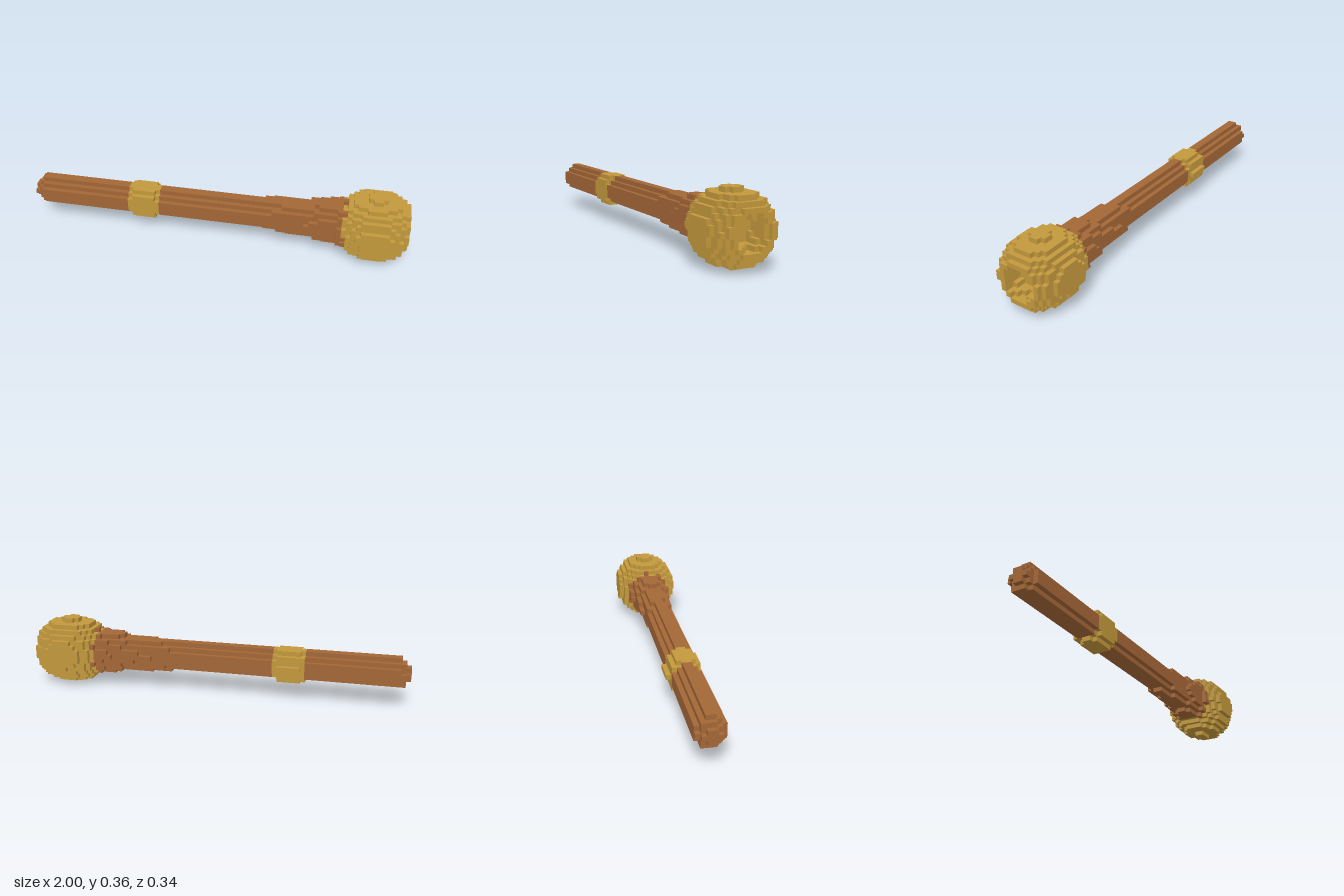
import * as THREE from 'three';

// Voxel grid: 83 x 15 x 14 cells, the long axis runs along x
const NX = 83, NY = 15, NZ = 14;
const S = 2 / NX;
const CY = 7.55, CZ = 6.9; // axis of the shaft, in cells

// Shaft radius in cells along x: slim handle, then a flare towards the head
const PROFILE = [[-1, 3.02], [0.2, 3.02], [0.25, 3.08], [0.36, 3.42], [0.47, 3.62],
  [0.53, 4.02], [0.57, 4.42], [0.64, 4.62], [0.66, 4.97], [1, 5.0]];

function shaftRadius(i) {
  if (i === 0) return 1.65;
  if (i === 1) return 2.5;
  const x = -1 + (i + 0.5) * S;
  for (let k = 1; k < PROFILE.length; k++) {
    const [x0, r0] = PROFILE[k - 1], [x1, r1] = PROFILE[k];
    if (x <= x1) return r0 + (r1 - r0) * (x - x0) / (x1 - x0);
  }
  return 5;
}

function bandRadius(i) {
  if (i < 22 || i > 28) return 0;
  if (i === 28) return 3.02;
  return i === 22 ? 3.2 : 3.5;
}

// Squared radius of the rounded head at column i
function headRadius2(i) {
  const d = Math.abs(i + 0.5 - 76);
  return i < 69 ? 0 : 51.2 - (0.62 * d + 0.032 * d * d) ** 2;
}

// Stepped hollow in the +x end of the head
const hollowRadius = (i) => (i < 78 ? 0 : 2.6 + (i - 78) * 0.25);

// Which part fills a cell
function partAt(i, j, k) {
  if (i < 0 || j < 0 || k < 0 || i >= NX || j >= NY || k >= NZ) return null;
  const d2 = (j + 0.5 - CY) ** 2 + (k + 0.5 - CZ) ** 2;
  if (d2 < hollowRadius(i) ** 2) return null;
  if (d2 <= headRadius2(i)) return 'head';
  if (d2 <= bandRadius(i) ** 2) return 'band';
  if (i < 71 && d2 <= shaftRadius(i) ** 2) return 'shaft';
  return null;
}

// Outward faces of all cells belonging to one part
function voxelGeometry(part) {
  const pos = [], nor = [], idx = [];
  const face = (cell, axis, sign) => {
    const u = (axis + 1) % 3, v = (axis + 2) % 3, base = pos.length / 3;
    for (const [a, b] of [[0, 0], [1, 0], [1, 1], [0, 1]]) {
      const p = [...cell];
      p[axis] += sign > 0 ? 1 : 0;
      p[u] += a;
      p[v] += b;
      pos.push(p[0] * S - 1, p[1] * S, (p[2] - NZ / 2) * S);
      const n = [0, 0, 0];
      n[axis] = sign;
      nor.push(...n);
    }
    const order = sign > 0 ? [0, 1, 2, 0, 2, 3] : [0, 2, 1, 0, 3, 2];
    idx.push(...order.map((o) => base + o));
  };
  for (let i = 0; i < NX; i++) for (let j = 0; j < NY; j++) for (let k = 0; k < NZ; k++) {
    if (partAt(i, j, k) !== part) continue;
    for (let axis = 0; axis < 3; axis++) for (const sign of [-1, 1]) {
      const next = [i, j, k];
      next[axis] += sign;
      if (!partAt(...next)) face([i, j, k], axis, sign);
    }
  }
  const g = new THREE.BufferGeometry();
  g.setAttribute('position', new THREE.Float32BufferAttribute(pos, 3));
  g.setAttribute('normal', new THREE.Float32BufferAttribute(nor, 3));
  g.setIndex(idx);
  return g;
}

export function createModel() {
  const wood = new THREE.MeshStandardMaterial({ color: 0xa36636 });
  wood.name = 'wood';
  const gold = new THREE.MeshStandardMaterial({ color: 0xc2983c });
  gold.name = 'gold';

  const model = new THREE.Group();
  model.name = 'scepter';
  for (const [part, material] of [['shaft', wood], ['band', gold], ['head', gold]]) {
    const mesh = new THREE.Mesh(voxelGeometry(part), material);
    mesh.name = part;
    model.add(mesh);
  }
  return model;
}
